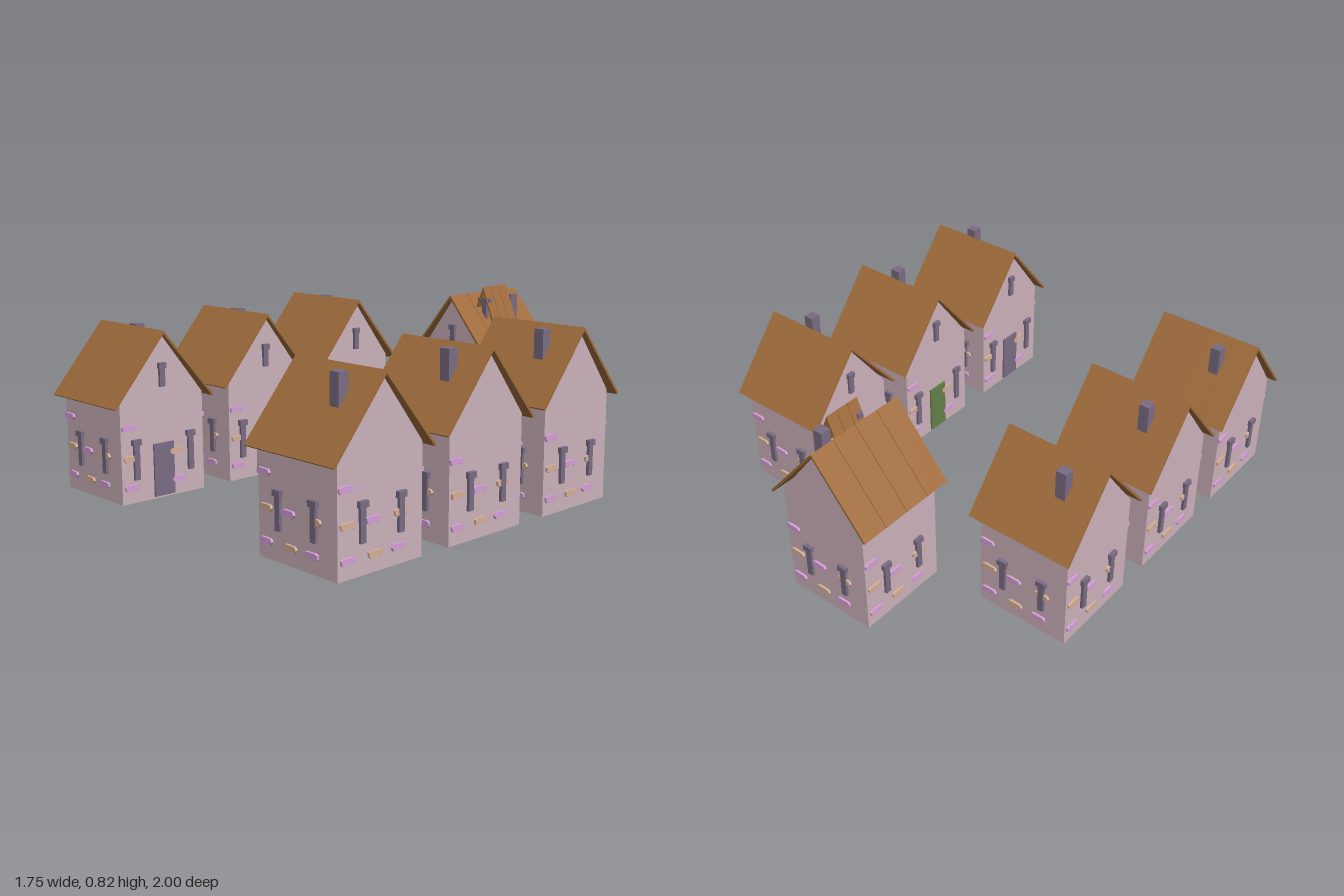
import * as THREE from 'three';

const mat = (color) => new THREE.MeshStandardMaterial({ color });
const wallMat = mat(0xcdb2bb), trimMat = mat(0x7a6c84), roofMat = mat(0xa06c3c);
const pinkMat = mat(0xd6a0d6), peachMat = mat(0xd6b098);
const HALF = 0.205; // half width of the square house plan

function add(parent, name, geometry, material, x = 0, y = 0, z = 0) {
  const mesh = new THREE.Mesh(geometry, material);
  mesh.name = name;
  mesh.position.set(x, y, z);
  parent.add(mesh);
  return mesh;
}

function extrude(points, depth) {
  const shape = new THREE.Shape(points.map(([x, y]) => new THREE.Vector2(x, y)));
  return new THREE.ExtrudeGeometry(shape, { depth, bevelEnabled: false });
}

// Inverted V of boards, apex at the origin, running along z
function addRoof(parent, name, halfWidth, drop, length, boards, x, y, z) {
  const t = 0.014;
  const step = length / boards;
  const section = [[0, 0], [-halfWidth, -drop], [-halfWidth + 0.008, -drop - 0.006],
    [0, -t], [halfWidth - 0.008, -drop - 0.006], [halfWidth, -drop]];
  const geometry = extrude(section, step - 0.002);
  const roof = new THREE.Group();
  roof.name = name;
  roof.position.set(x, y, z);
  for (let i = 0; i < boards; i++) {
    add(roof, 'roofBoard', geometry, roofMat, 0, 0, -length / 2 + i * step + 0.001);
  }
  parent.add(roof);
}

// Narrow window with a wider lintel
function addWindow(parent, x, top, height, z, lintel = 0.042) {
  const w = new THREE.Group();
  w.name = 'window';
  w.position.set(x, top, z);
  add(w, 'windowSlit', new THREE.BoxGeometry(0.026, height, 0.016), trimMat, 0, -height / 2, 0);
  add(w, 'windowLintel', new THREE.BoxGeometry(lintel, 0.024, 0.026), trimMat, 0, -0.012, 0);
  parent.add(w);
}

const stoneGeometry = extrude([[-0.034, -0.006], [-0.026, -0.013], [0.018, -0.01],
  [0.024, -0.014], [0.034, 0], [0.026, 0.012], [-0.022, 0.013], [-0.034, 0.008]], 0.014);

// Stones as [x, y, material, mirrored]
const frontStones = [[-0.165, 0.32, pinkMat], [-0.16, 0.19, peachMat], [0.065, 0.19, peachMat],
  [-0.16, 0.068, pinkMat], [0.072, 0.068, pinkMat, true]];
const plainStones = [[-0.17, 0.32, pinkMat], [-0.16, 0.192, peachMat], [-0.04, 0.192, pinkMat],
  [0.095, 0.192, peachMat], [-0.16, 0.068, pinkMat], [-0.03, 0.068, peachMat],
  [0.08, 0.068, pinkMat, true]];

function createHouse(name, wallTop, doorColor) {
  const house = new THREE.Group();
  house.name = name;

  // Walls with gables
  add(house, 'walls', extrude([[-HALF, 0], [HALF, 0], [HALF, wallTop],
    [0, wallTop + 0.27], [-HALF, wallTop]], 2 * HALF), wallMat, 0, 0, -HALF);
  addRoof(house, 'roof', 0.248, 0.296, 0.467, 4, 0, wallTop + 0.282, 0);

  // Chimney on the rear right slope
  add(house, 'chimney', new THREE.BoxGeometry(0.045, 0.15, 0.045), trimMat, 0.088, wallTop + 0.197, -0.09);

  // Front, two sides and back
  ['frontFace', 'leftFace', 'backFace', 'rightFace'].forEach((label, i) => {
    const face = new THREE.Group();
    face.name = label;
    face.rotation.y = i * Math.PI / 2;
    const offset = i === 0 ? 0.135 : 0.093;
    for (const s of [-1, 1]) addWindow(face, s * offset, 0.268, i === 0 ? 0.17 : 0.15, HALF + 0.004);
    for (const [x, y, material, flip] of i === 0 ? frontStones : plainStones) {
      const stone = add(face, 'wallStone', stoneGeometry, material, x, y, HALF - (flip ? -0.01 : 0.004));
      if (flip) stone.rotation.y = Math.PI;
    }
    if (i === 0) {
      add(face, 'door', new THREE.BoxGeometry(0.1, 0.225, 0.016), mat(doorColor), 0, 0.1215, HALF);
      addWindow(face, 0, wallTop + 0.147, 0.1, HALF + 0.004, 0.034);
    }
    house.add(face);
  });
  return house;
}

export function createModel() {
  const village = new THREE.Group();
  village.name = 'village';

  // Two facing rows of houses, growing taller towards the back
  const rows = [[0.753, 0.425, 0x7a6c84], [0.2, 0.443, 0x64804a], [-0.355, 0.46, 0x3f97a6]];
  for (const side of [-1, 1]) {
    for (const [z, wallTop, doorColor] of rows) {
      const house = createHouse(side < 0 ? 'rightRowHouse' : 'leftRowHouse', wallTop, doorColor);
      house.position.set(side * 0.645, 0, z);
      house.rotation.y = -side * Math.PI / 2;
      village.add(house);
    }
  }

  // Head house with a small open dormer
  const head = createHouse('headHouse', 0.5, 0x7a6c84);
  head.position.z = -0.766;
  addRoof(head, 'dormerRoof', 0.07, 0.17, 0.165, 3, 0.082, 0.818, 0.018);
  addWindow(head, 0.08, 0.765, 0.14, 0.08, 0.064);
  village.add(head);
  return village;
}
